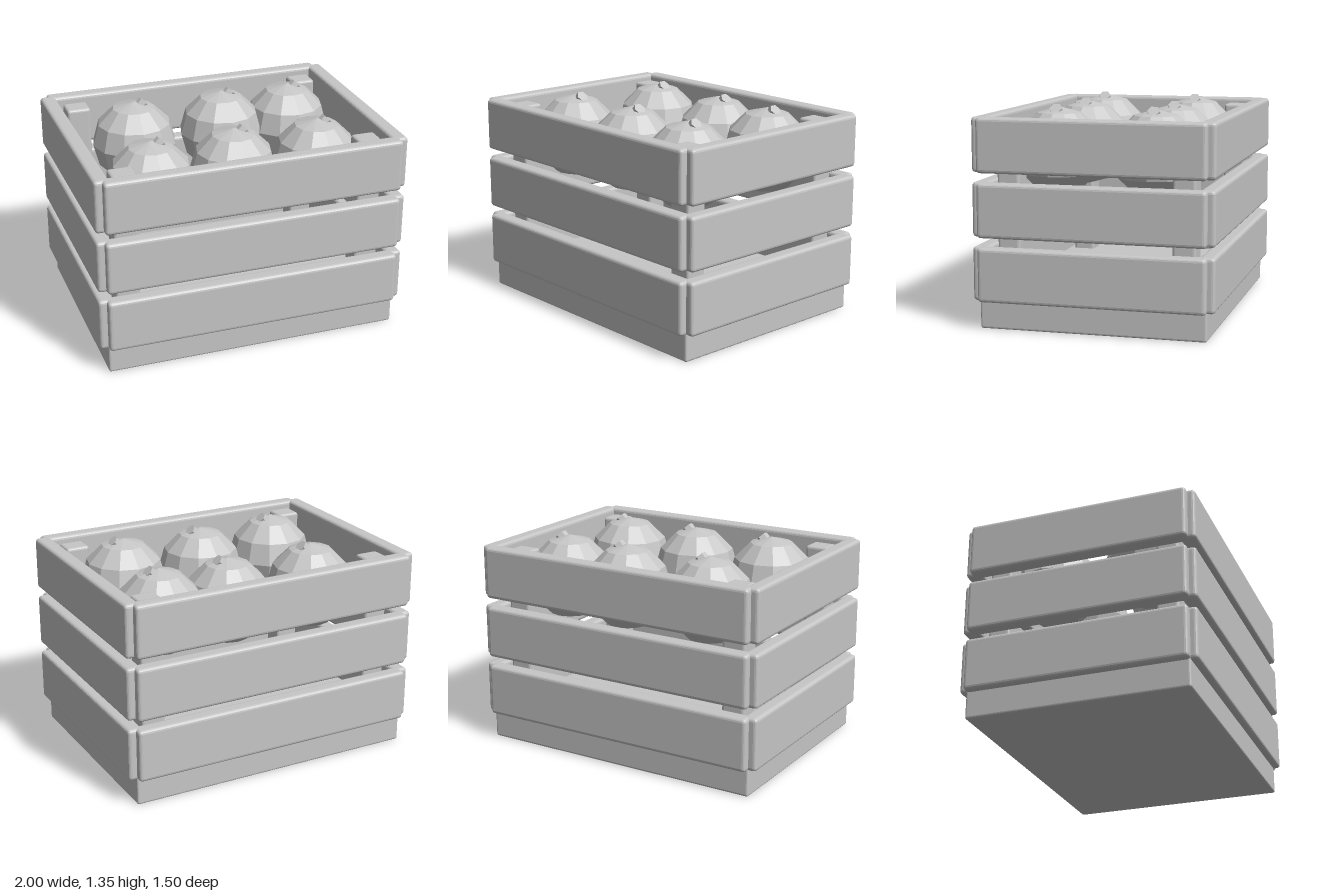
import * as THREE from 'three';
import { RoundedBoxGeometry } from 'three/addons/geometries/RoundedBoxGeometry.js';

export function createModel() {
  const model = new THREE.Group();
  model.name = 'fruitCrate';

  const grey = new THREE.MeshStandardMaterial({ color: 0xc6c6c6 });
  grey.name = 'plain grey';
  grey.flatShading = true;

  function add(parent, name, geometry, x, y, z) {
    const mesh = new THREE.Mesh(geometry, grey);
    mesh.name = name;
    mesh.position.set(x, y, z);
    parent.add(mesh);
    return mesh;
  }

  // Solid base block
  add(model, 'base', new RoundedBoxGeometry(1.9, 0.2, 1.41, 2, 0.014), 0, 0.1, 0);

  // Three tiers of slats, overlapping at the corners
  const frontSlat = new RoundedBoxGeometry(1.9, 0.335, 0.1, 2, 0.022);
  const sideSlat = new RoundedBoxGeometry(0.1, 0.335, 1.41, 2, 0.022);
  for (const y of [0.338, 0.733, 1.128]) {
    add(model, 'frontSlat', frontSlat, 0, y, 0.7);
    add(model, 'backSlat', frontSlat, 0, y, -0.7);
    add(model, 'leftSlat', sideSlat, 0.95, y, 0);
    add(model, 'rightSlat', sideSlat, -0.95, y, 0);
  }

  // Corner posts
  const post = new RoundedBoxGeometry(0.155, 1.165, 0.142, 2, 0.018);
  for (const sx of [-1, 1]) {
    for (const sz of [-1, 1]) {
      add(model, 'cornerPost', post, sx * 0.79, 0.6825, sz * 0.545);
    }
  }

  // Faceted fruit, each with a short leaning stem
  const body = new THREE.SphereGeometry(0.275, 12, 6);
  const stem = new THREE.CylinderGeometry(0.04, 0.04, 0.12, 6);
  const places = [
    [-0.465, -0.33], [0.135, -0.33], [0.595, -0.31],
    [-0.545, 0.32], [0, 0.295], [0.545, 0.32],
  ];
  for (const [x, z] of places) {
    const fruit = new THREE.Group();
    fruit.name = 'fruit';
    fruit.position.set(x, 1.06, z);
    add(fruit, 'fruitBody', body, 0, 0, 0);
    add(fruit, 'fruitStem', stem, 0.031, 0.226, 0).rotation.z = -Math.PI / 4;
    model.add(fruit);
  }

  return model;
}
